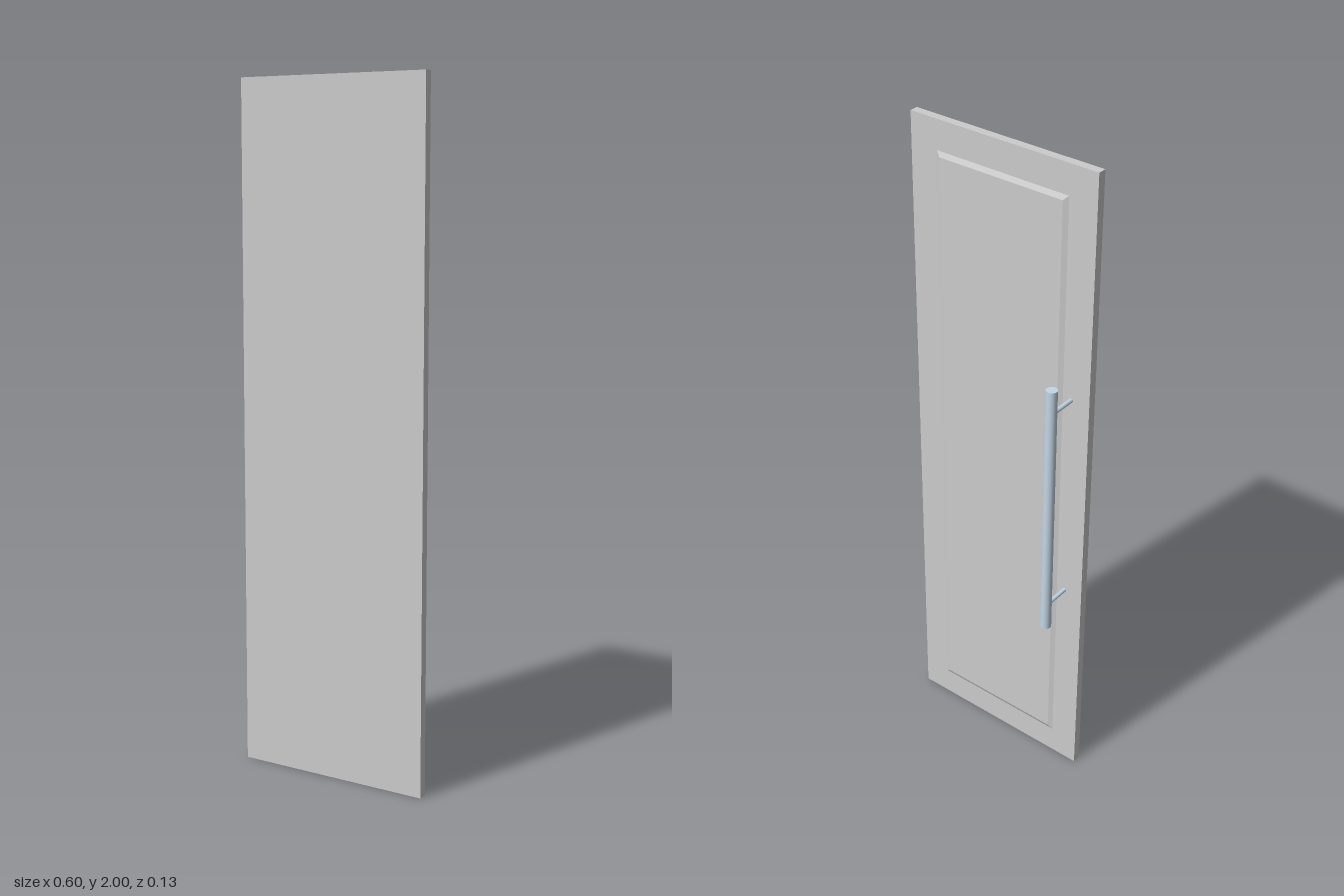
import * as THREE from 'three';

export function createModel() {
  const model = new THREE.Group();
  const grey = new THREE.MeshStandardMaterial({ color: 0xcccccc });
  const steel = new THREE.MeshStandardMaterial({ color: 0xc3d6e5 });

  const add = (parent, name, geometry, material, x, y, z) => {
    const mesh = new THREE.Mesh(geometry, material);
    mesh.name = name;
    mesh.position.set(x, y, z);
    parent.add(mesh);
    return mesh;
  };

  // Door slab
  const doorBack = 0.0375, thickness = 0.025;
  add(model, 'doorSlab', new THREE.BoxGeometry(0.6, 2, thickness), grey, 0, 1, doorBack + thickness / 2);

  // Raised panel on the back, its outer face drawn in to form bevels
  const raise = 0.0065, bevel = 0.014;
  const panel = new THREE.BoxGeometry(0.426, 1.826, raise);
  const pos = panel.attributes.position;
  for (let i = 0; i < pos.count; i++) {
    if (pos.getZ(i) > 0) continue;
    pos.setX(i, pos.getX(i) - Math.sign(pos.getX(i)) * bevel);
    pos.setY(i, pos.getY(i) - Math.sign(pos.getY(i)) * bevel);
  }
  panel.computeVertexNormals();
  add(model, 'raisedPanel', panel, grey, 0, 1, doorBack - raise / 2);

  // Pull handle: vertical bar on two standoffs
  const handle = new THREE.Group();
  handle.name = 'handle';
  model.add(handle);
  const x = -0.24, barZ = -0.05, midY = 0.996;
  add(handle, 'handleBar', new THREE.CylinderGeometry(0.0163, 0.0163, 0.81, 32), steel, x, midY, barZ);
  const length = doorBack - barZ;
  for (const side of [1, -1]) {
    const post = add(handle, side > 0 ? 'upperStandoff' : 'lowerStandoff',
      new THREE.CylinderGeometry(0.0063, 0.0063, length, 24), steel, x, midY + side * 0.328, barZ + length / 2);
    post.rotation.x = Math.PI / 2;
  }

  return model;
}
